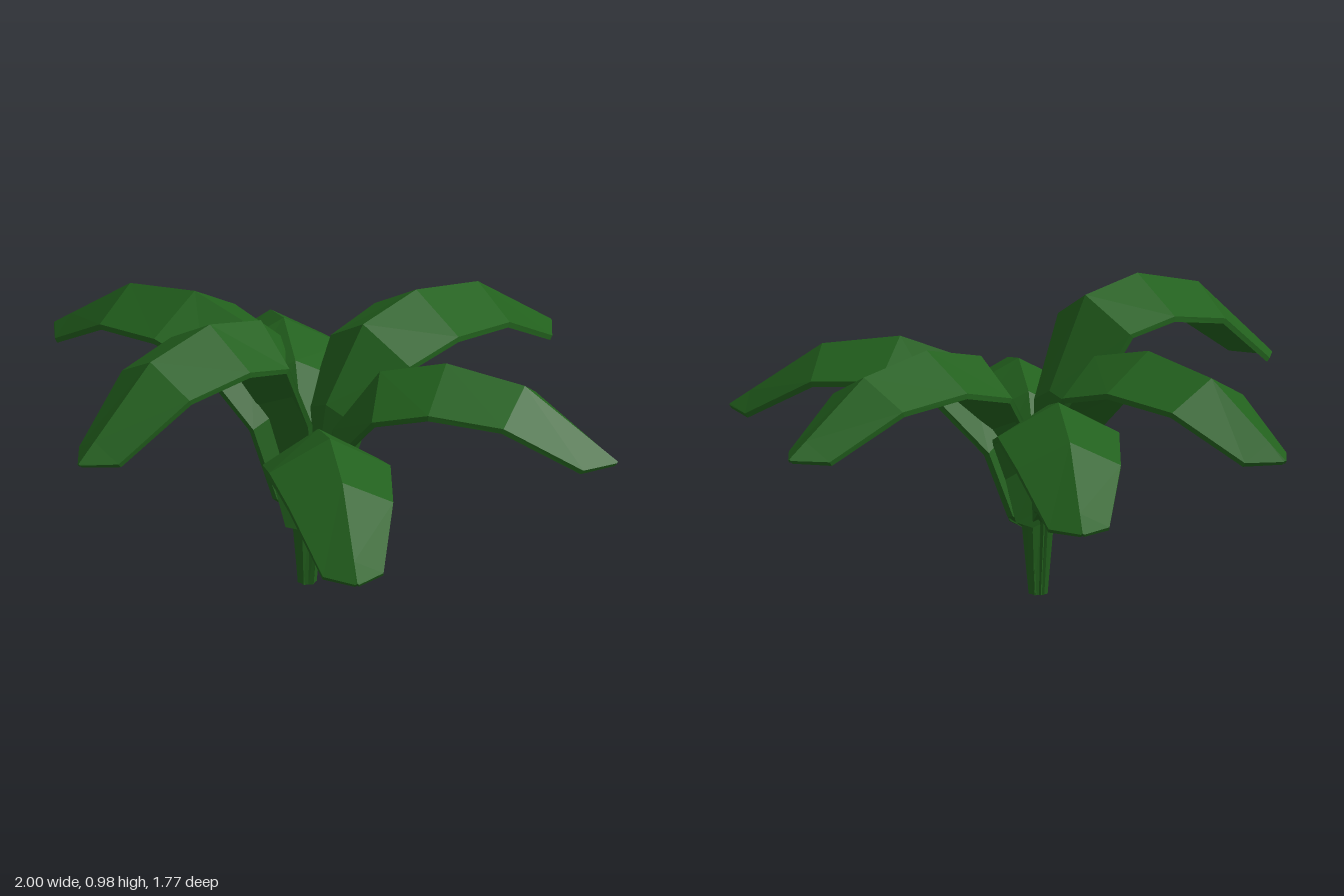
import * as THREE from 'three';

// Half width, edge droop and thickness at each station from stalk foot to tip
const WIDTH = [0.016, 0.024, 0.082, 0.125, 0.183, 0.194, 0.166, 0.097, 0.006];
const DROOP = [0.004, 0.012, 0.045, 0.08, 0.105, 0.11, 0.09, 0.055, 0.004];
const THICK = [0.022, 0.02, 0.018, 0.018, 0.018, 0.018, 0.018, 0.016, 0.012];

// Each leaf: tip direction [x, z], stalk points and midrib points as [outward, height]
const LEAVES = [
  { dir: [1, 0], stalk: [[0.02, 0.23], [0.085, 0.53]], rib: [[0.24, 0.745], [0.46, 0.8], [0.72, 0.755], [1.028, 0.535]] },
  { dir: [0.515, -0.91], stalk: [[0.02, 0.25], [0.08, 0.58]], rib: [[0.24, 0.81], [0.47, 0.865], [0.735, 0.82], [1.05, 0.605]] },
  { dir: [-0.44, -0.85], stalk: [[0.02, 0.235], [0.085, 0.47]], rib: [[0.22, 0.665], [0.435, 0.725], [0.68, 0.655], [0.955, 0.425]] },
  { dir: [-0.97, -0.42], stalk: [[0.02, 0.25], [0.08, 0.58]], rib: [[0.24, 0.81], [0.47, 0.865], [0.74, 0.82], [1.055, 0.605]] },
  { dir: [-0.505, 0.79], stalk: [[0.01, 0.28], [0.045, 0.65]], rib: [[0.19, 0.94], [0.4, 0.98], [0.645, 0.915], [0.94, 0.645]] },
  { dir: [0.435, 0.85], stalk: [[0.02, 0.205], [0.085, 0.44]], rib: [[0.21, 0.605], [0.43, 0.66], [0.67, 0.605], [0.955, 0.375]] },
];

const mix = (a, b, t) => [a[0] + (b[0] - a[0]) * t, a[1] + (b[1] - a[1]) * t];

// Folded blade: a thin chevron section swept along the midrib (local +x is outward)
function leafGeometry({ stalk: [stalkTop, low], rib: [inner, peak, outer, tip] }) {
  const bladeStart = mix(stalkTop, low, 0.22);
  const path = [[0.002, 0], stalkTop, bladeStart, low, inner, peak, outer, mix(outer, tip, 0.78), tip];

  const pos = [];
  path.forEach(([r, y], i) => {
    const a = path[Math.max(i - 1, 0)];
    const b = path[Math.min(i + 1, path.length - 1)];
    const len = Math.hypot(b[0] - a[0], b[1] - a[1]);
    // Direction pointing to the underside of the blade
    const dx = (b[1] - a[1]) / len;
    const dy = -(b[0] - a[0]) / len;
    const w = WIDTH[i], t = THICK[i];
    // Edges hang straighter down than the section normal
    const ex = r + dx * DROOP[i] * 0.5;
    const ey = Math.max(0, y - DROOP[i] * (i < 4 ? 0.7 : 0.95));
    const under = (x, h) => [x + dx * t, Math.max(0, h + dy * t)];
    const [bx, by] = under(r, y);
    const [ux, uy] = under(ex, ey);
    pos.push(ex, ey, w, r, y, 0, ex, ey, -w);
    pos.push(ux, uy, -w, bx, by, 0, ux, uy, w);
  });

  const index = [];
  const last = (path.length - 1) * 6;
  for (let i = 0; i < path.length - 1; i++) {
    for (let j = 0; j < 6; j++) {
      const a = i * 6 + j, b = i * 6 + ((j + 1) % 6);
      index.push(a, a + 6, b, b, a + 6, b + 6);
    }
  }
  // Close foot and tip
  for (const [a, b, c] of [[0, 1, 4], [0, 4, 5], [1, 2, 3], [1, 3, 4]]) {
    index.push(a, b, c, last + a, last + c, last + b);
  }

  const geometry = new THREE.BufferGeometry();
  geometry.setAttribute('position', new THREE.Float32BufferAttribute(pos, 3));
  geometry.setIndex(index);
  geometry.computeVertexNormals();
  return geometry;
}

export function createModel() {
  const plant = new THREE.Group();
  plant.name = 'plant';
  const green = new THREE.MeshStandardMaterial({ color: 0x22601d, flatShading: true });

  LEAVES.forEach((leaf, i) => {
    const mesh = new THREE.Mesh(leafGeometry(leaf), green);
    mesh.name = `leaf${i + 1}`;
    mesh.position.set(-0.032, 0, 0.028);
    mesh.rotation.y = Math.atan2(-leaf.dir[1], leaf.dir[0]);
    plant.add(mesh);
  });
  return plant;
}
